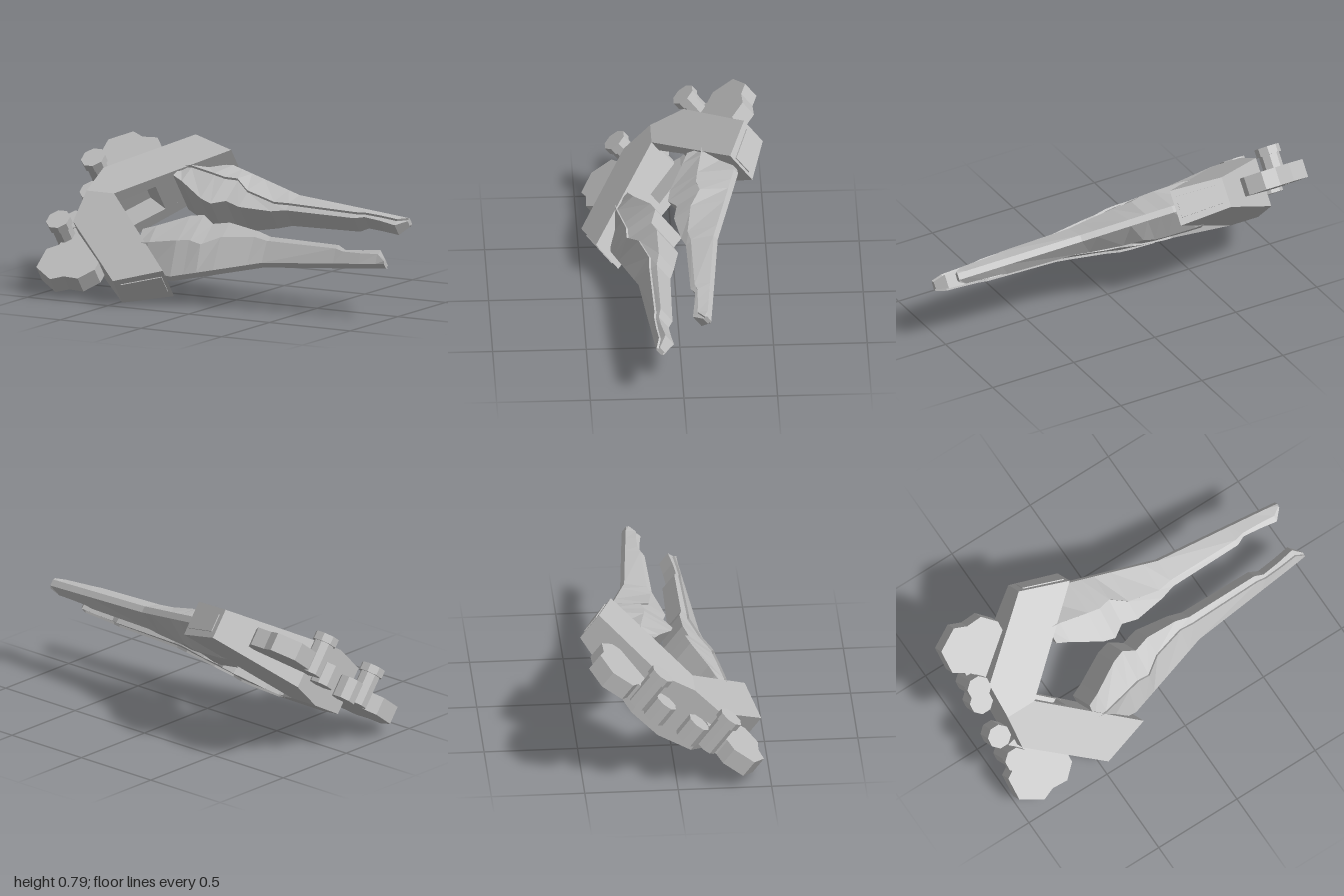
import * as THREE from 'three';

const hullGrey = new THREE.MeshStandardMaterial({ color: 0xbebebe });
hullGrey.name = 'hullGrey';

// Half thickness of the hull at lateral distance u from the centre line
const hullHalf = (u) => 0.165 - 0.15 * u;

// Extruded outline in (x, u); height(f, u) gives the level for f = 0 (bottom) or 1 (top)
function prism(outline, height) {
  const shape = new THREE.Shape(outline.map(([x, u]) => new THREE.Vector2(x, u)));
  const g = new THREE.ExtrudeGeometry(shape, { depth: 1, bevelEnabled: false });
  const p = g.attributes.position;
  for (let i = 0; i < p.count; i++) {
    const u = p.getY(i);
    p.setXYZ(i, p.getX(i), height(p.getZ(i), u), -u);
  }
  return g;
}

// Slab following the hull taper between two fractions of its half thickness
const hullLayer = (outline, a, b) => prism(outline, (f, u) => (a + (b - a) * f) * hullHalf(u));
const flatSlab = (outline, a, b) => prism(outline, (f) => a + (b - a) * f);

// Skin a row of equal-length loops and close both ends
function loft(loops) {
  const pos = [];
  const tri = (a, b, c) => pos.push(...a, ...b, ...c);
  const n = loops[0].length;
  for (let s = 0; s < loops.length - 1; s++) {
    for (let i = 0; i < n; i++) {
      const j = (i + 1) % n, A = loops[s], B = loops[s + 1];
      tri(A[i], B[j], B[i]);
      tri(A[i], A[j], B[j]);
    }
  }
  // End caps as strips between the matching upper and lower halves
  const cap = (L, front) => {
    for (let i = 0; i < n / 2 - 1; i++) {
      const a = L[i], b = L[i + 1], c = L[n - 2 - i], d = L[n - 1 - i];
      if (front) { tri(a, b, c); tri(a, c, d); } else { tri(a, c, b); tri(a, d, c); }
    }
  };
  cap(loops[0], false);
  cap(loops[loops.length - 1], true);
  const g = new THREE.BufferGeometry();
  g.setAttribute('position', new THREE.Float32BufferAttribute(pos, 3));
  return g;
}

// Copy to the other side of the centre plane, keeping faces outward
function mirrored(geometry) {
  const g = geometry.clone();
  const p = g.attributes.position;
  const v = [0, 1, 2].map(() => new THREE.Vector3());
  for (let i = 0; i < p.count; i += 3) {
    v.forEach((q, k) => q.fromBufferAttribute(p, i + k));
    [0, 2, 1].forEach((k, m) => p.setXYZ(i + m, v[k].x, v[k].y, -v[k].z));
  }
  g.computeVertexNormals();
  return g;
}

export function createModel() {
  const model = new THREE.Group();
  model.name = 'forkedShip';
  const ship = new THREE.Group();
  ship.name = 'tiltedHull';
  ship.rotation.x = 0.651;
  ship.position.y = 0.4;
  model.add(ship);

  const add = (name, geometry) => {
    const m = new THREE.Mesh(geometry, hullGrey);
    m.name = name;
    ship.add(m);
  };
  const addPair = (name, geometry) => {
    const flat = geometry.index ? geometry.toNonIndexed() : geometry;
    flat.computeVertexNormals();
    add(name + 'Upper', flat);
    add(name + 'Lower', mirrored(flat));
  };

  // Chevron hull: top and bottom decks with a channelled core between them
  const deck = [[-0.70, 0], [-0.21, 0.45], [-0.48, 0.546], [-0.87, 0.2], [-0.87, 0]];
  const core = [[-0.54, 0.147], [-0.21, 0.45], [-0.48, 0.546], [-0.87, 0.2],
    [-0.87, 0.04], [-0.84, 0.04], [-0.66, 0.21]];
  addPair('topDeck', hullLayer(deck, 0.6, 1));
  addPair('bottomDeck', hullLayer(deck, -1, -0.6));
  addPair('hullCore', hullLayer(core, -0.6, 0.6));

  // Thin closing plate at the back of the channel
  const plate = new THREE.PlaneGeometry(0.08, 0.198);
  plate.rotateY(-Math.PI / 2);
  plate.translate(-0.87, 0, 0);
  add('rearPlate', plate);

  // Thin panel on each wing tip
  const tip = (t, out) => [-0.48 + 0.27 * t + 0.335 * out, 0.546 - 0.096 * t + 0.942 * out];
  addPair('tipPanel', hullLayer([tip(0.12, 0), tip(0.93, 0), tip(0.93, 0.006), tip(0.12, 0.006)], -0.6, 0.6));

  // Prongs: x, outer edge u, step u, step height, inner wall u, inner wall height
  const sections = [
    [-0.44, 0.38, 0.290, 0.119, 0.200, 0.137],
    [-0.37, 0.40, 0.286, 0.128, 0.165, 0.136],
    [-0.21, 0.415, 0.250, 0.126, 0.065, 0.128],
    [-0.14, 0.392, 0.235, 0.122, 0.042, 0.120],
    [-0.07, 0.369, 0.245, 0.108, 0.085, 0.104],
    [0.02, 0.339, 0.175, 0.102, 0.058, 0.098],
    [0.20, 0.279, 0.130, 0.082, 0.075, 0.070],
    [0.28, 0.252, 0.140, 0.072, 0.098, 0.064],
    [0.70, 0.205, 0.135, 0.062, 0.100, 0.056],
    [0.75, 0.199, 0.145, 0.055, 0.122, 0.048],
    [0.85, 0.188, 0.140, 0.050, 0.110, 0.046],
    [0.95, 0.176, 0.130, 0.046, 0.092, 0.042],
    [1.00, 0.170, 0.160, 0.030, 0.145, 0.025],
  ];
  const loops = sections.map(([x, uo, us, vs, ui, vi]) => {
    const half = [[uo, 0.018], [us, vs], [us - 0.004, vs - 0.012], [ui, vi - 0.004]];
    const lower = half.map(([u, v]) => [u, -v]).reverse();
    return [...half, ...lower].map(([u, v]) => [x, v, -u]);
  });
  addPair('prong', loft(loops));

  // Notched fins behind the wings
  const fin = [[-1, 0.34], [-1, 0.475], [-0.88, 0.55], [-0.81, 0.52], [-0.72, 0.525],
    [-0.65, 0.45], [-0.65, 0.3], [-0.85, 0.16], [-0.93, 0.18], [-0.94, 0.3]];
  addPair('rearFin', flatSlab(fin, -0.05, 0.05));

  // Eight-sided thruster posts: shaft, wide cap and an inner pod
  const post = (r, low, high, u) => {
    const g = new THREE.CylinderGeometry(r, r, high - low, 8);
    g.rotateY(Math.PI / 8);
    g.translate(-0.935, (low + high) / 2, -u);
    return g;
  };
  addPair('thrusterShaft', post(0.056, -0.05, 0.14, 0.23));
  addPair('thrusterCap', post(0.068, 0.13, 0.175, 0.23));
  addPair('innerPod', post(0.066, -0.07, 0.05, 0.11));

  return model;
}
